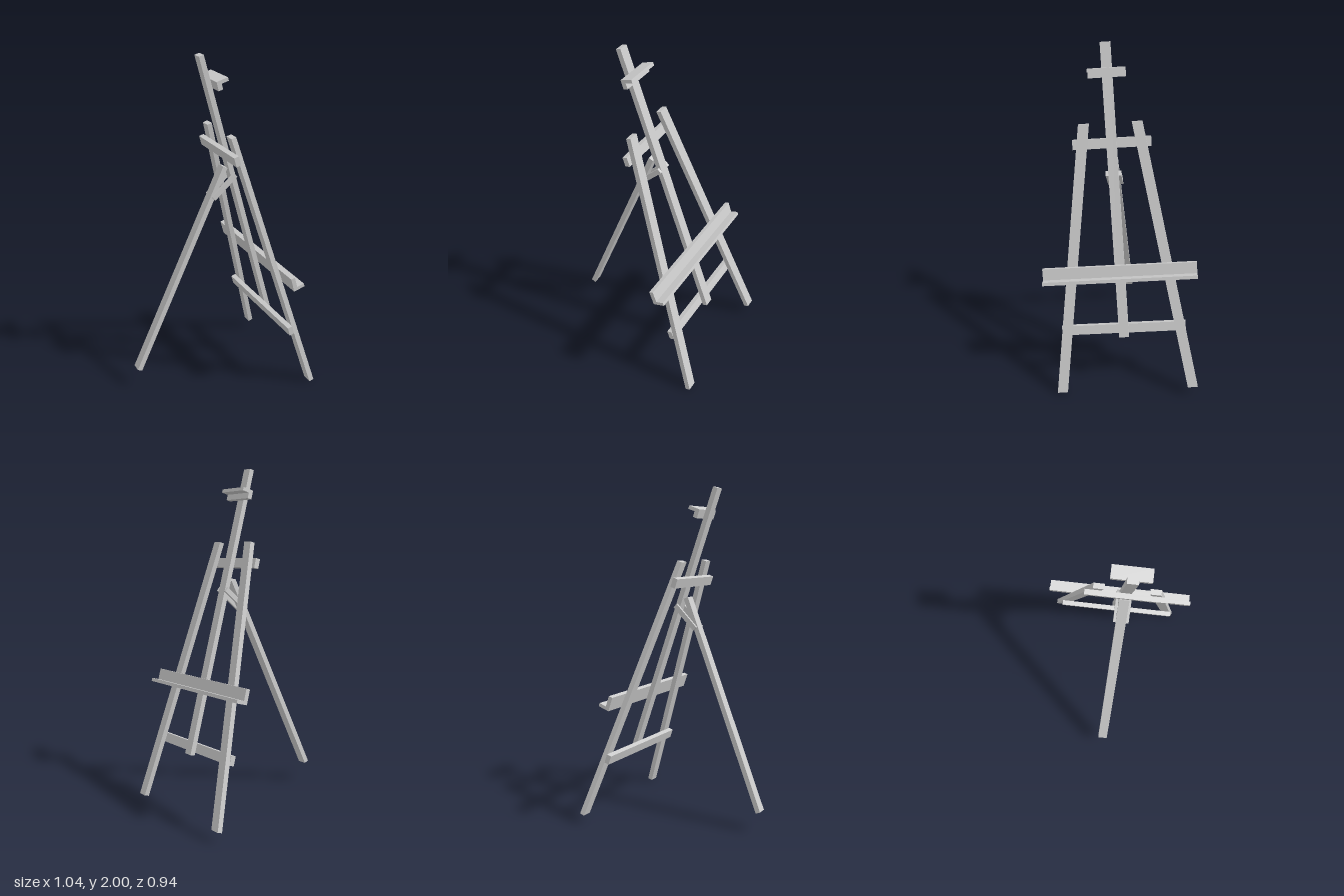
import * as THREE from 'three';

const V = (x, y, z) => new THREE.Vector3(x, y, z);
const material = new THREE.MeshStandardMaterial({ color: 0xcccccc, flatShading: true });

export function createModel() {
  const model = new THREE.Group();
  model.name = 'easel';

  // Tilted frame: local x runs across the easel, y up along the mast, z out of its face
  const frame = new THREE.Group();
  frame.name = 'easelFrame';
  const up = V(-0.294, 0.951, 0.089).normalize();
  const out = V(-0.083, 0.061, -0.995).cross(up).normalize();
  const across = up.clone().cross(out);
  frame.quaternion.setFromRotationMatrix(new THREE.Matrix4().makeBasis(across, up, out));
  model.add(frame);

  const add = (name, geometry) => {
    const mesh = new THREE.Mesh(geometry, material);
    mesh.name = name;
    frame.add(mesh);
    return mesh;
  };

  // Box between two corners ranges
  const board = (name, halfWidth, y0, y1, z0, z1) =>
    add(name, new THREE.BoxGeometry(2 * halfWidth, y1 - y0, z1 - z0))
      .position.set(0, (y0 + y1) / 2, (z0 + z1) / 2);

  // Square-ended beam in the y-z plane
  const beam = (name, a, b, width, depth) => {
    const mesh = add(name, new THREE.BoxGeometry(width, a.distanceTo(b), depth));
    mesh.position.copy(a).add(b).multiplyScalar(0.5);
    mesh.rotation.x = Math.atan2(b.z - a.z, b.y - a.y);
  };

  const BACK = 0.443, FRONT = 0.473;

  // Splayed front legs with level-cut ends, made by shearing a box
  for (const [side, name] of [[-1, 'frontLegA'], [1, 'frontLegB']]) {
    const y0 = -0.11, y1 = 1.508, x0 = 0.395, x1 = 0.151;
    const g = new THREE.BoxGeometry(0.06, y1 - y0, FRONT - BACK);
    g.translate(0, (y0 + y1) / 2, (BACK + FRONT) / 2);
    const p = g.attributes.position;
    for (let i = 0; i < p.count; i++) {
      const t = (p.getY(i) - y0) / (y1 - y0);
      p.setX(i, p.getX(i) + side * (x0 + (x1 - x0) * t));
    }
    g.computeVertexNormals();
    add(name, g);
  }

  // Central mast and the crossbars behind it
  board('mast', 0.029, 0.23, 1.952, BACK, FRONT);
  board('lowerCrossbar', 0.37, 0.247, 0.303, BACK - 0.03, BACK);
  board('upperCrossbar', 0.225, 1.362, 1.418, BACK - 0.03, BACK);

  // Canvas shelf: back board and tray
  board('shelfBack', 0.45, 0.595, 0.682, FRONT, FRONT + 0.025);
  board('shelfTray', 0.45, 0.595, 0.615, FRONT + 0.025, FRONT + 0.071);

  // Top canvas holder: block and overhanging plate
  board('holderBlock', 0.105, 1.76, 1.793, FRONT, FRONT + 0.027);
  board('holderPlate', 0.105, 1.793, 1.813, FRONT, FRONT + 0.071);

  // Rear leg and its pair of hinge struts
  beam('rearLeg', V(0, 0.273, -0.451), V(0, 1.288, 0.425), 0.058, 0.03);
  for (const s of [-1, 1])
    beam('hingeStrut', V(s * 0.037, 1.14, 0.3), V(s * 0.037, 1.222, 0.47), 0.015, 0.03);

  return model;
}
